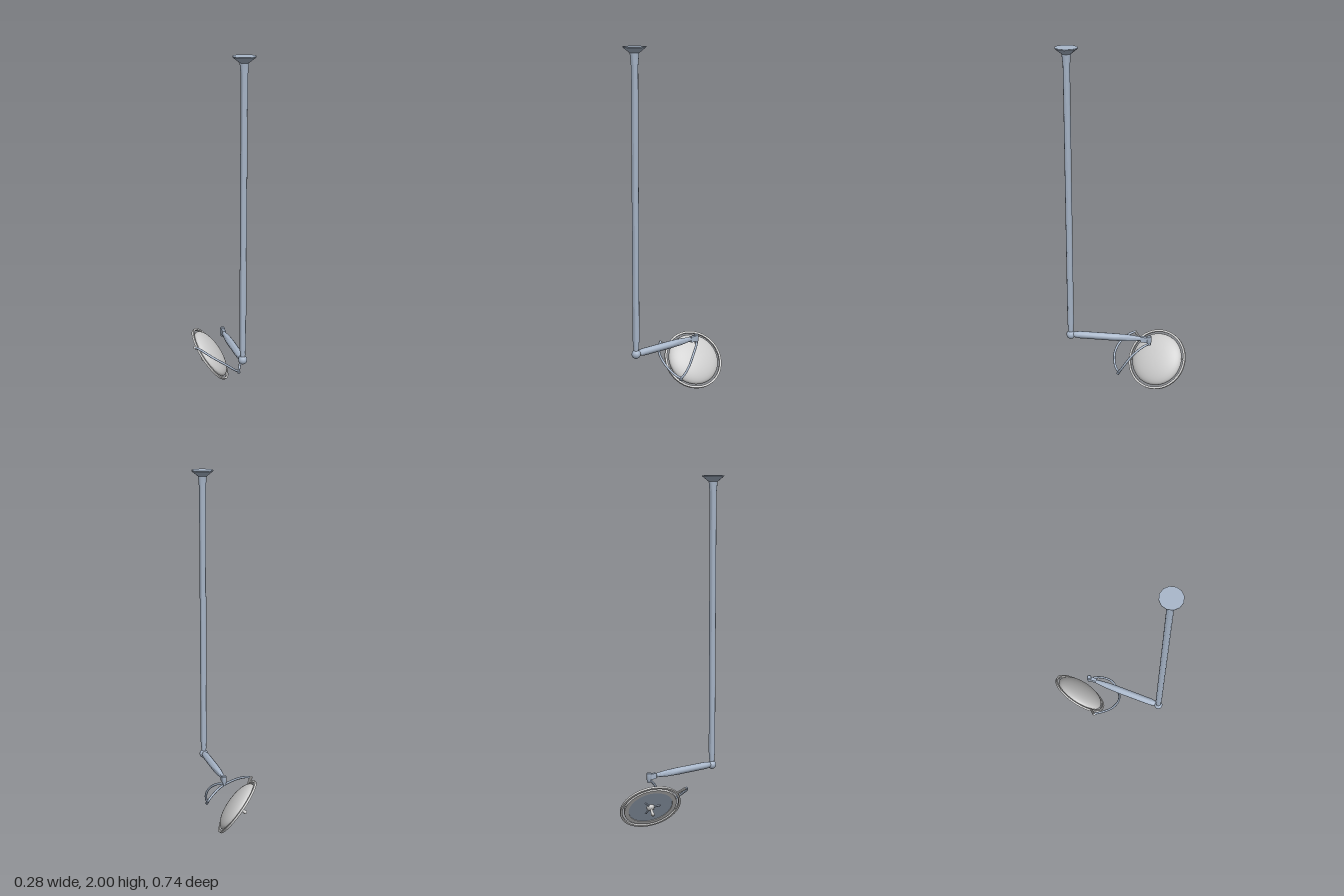
import * as THREE from 'three';
import { toCreasedNormals } from 'three/addons/utils/BufferGeometryUtils.js';

const V = (x, y, z) => new THREE.Vector3(x, y, z);
const UP = V(0, 1, 0);

export function createModel() {
  const model = new THREE.Group();
  const blue = new THREE.MeshStandardMaterial({ color: 0xa9b7ca });
  const grey = new THREE.MeshStandardMaterial({ color: 0xcccccc, side: THREE.DoubleSide });

  function add(parent, name, geometry, material) {
    const mesh = new THREE.Mesh(geometry, material);
    mesh.name = name;
    parent.add(mesh);
    return mesh;
  }
  // Turned part: profile of [radius, height], listed from bottom to top
  const turned = (profile, sides) => toCreasedNormals(
    new THREE.LatheGeometry(profile.map(([r, y]) => new THREE.Vector2(r, y)), sides), 0.7);
  // Straight rod between two points
  function rod(parent, name, a, b, ra, rb, material) {
    const geometry = toCreasedNormals(new THREE.CylinderGeometry(rb, ra, a.distanceTo(b), 10), 0.7);
    const mesh = add(parent, name, geometry, material);
    mesh.position.copy(a).lerp(b, 0.5);
    mesh.quaternion.setFromUnitVectors(UP, b.clone().sub(a).normalize());
    return mesh;
  }
  const bentRod = (name, points) => add(model, name,
    new THREE.TubeGeometry(new THREE.CatmullRomCurve3(points), 28, 0.0068, 8), blue);

  // Ceiling pole with its flared mount
  const poleX = 0.058, poleZ = 0.303, armY = 0.304;
  add(model, 'ceilingPole', turned([
    [0, 0.31], [0.014, 0.31], [0.015, 0.33], [0.019, 0.38], [0.02, 1.9],
    [0.026, 1.965], [0.064, 1.995], [0.064, 2], [0, 2],
  ], 12), blue).position.set(poleX, 0, poleZ);

  // Elbow joint and horizontal arm
  add(model, 'elbowJoint', new THREE.SphereGeometry(0.026, 12, 8), blue)
    .position.set(poleX, armY - 0.002, poleZ);
  const arm = add(model, 'horizontalArm', turned([
    [0, 0.015], [0.015, 0.015], [0.021, 0.05], [0.0215, 0.26], [0.019, 0.34],
    [0.012, 0.415], [0, 0.415],
  ], 12), blue);
  arm.position.set(poleX, armY, poleZ);
  arm.rotation.x = -Math.PI / 2;

  // Wrist joint at the end of the arm
  const neck = add(model, 'wristNeck', new THREE.BoxGeometry(0.02, 0.032, 0.045), blue);
  neck.position.set(0.061, armY - 0.002, -0.133);
  add(model, 'wristJoint', turned([
    [0, -0.034], [0.011, -0.034], [0.012, -0.02], [0.0145, -0.014],
    [0.0145, 0.018], [0.011, 0.022], [0, 0.022],
  ], 12), blue).position.set(0.061, armY, -0.158);

  // Two bent rods carrying the lamp head
  const joint = V(0.114, 0.107, 0.012), pivot = V(-0.13, 0.258, -0.05);
  bentRod('upperYoke', [V(0.061, 0.274, -0.158), V(0.08, 0.275, -0.142), V(0.105, 0.258, -0.108),
    V(0.126, 0.22, -0.065), V(0.134, 0.18, -0.035), V(0.128, 0.138, -0.008), joint]);
  bentRod('lowerYoke', [joint, V(0.083, 0.13, 0.036), V(0.025, 0.175, 0.051),
    V(-0.045, 0.217, 0.033), V(-0.1, 0.248, -0.012), pivot]);
  rod(model, 'yokeJoint', V(0.118, 0.096, 0.018), V(0.112, 0.116, 0.006), 0.009, 0.009, blue);
  rod(model, 'ringPivot', V(-0.1, 0.229, -0.085), V(-0.135, 0.259, -0.046), 0.006, 0.009, grey);

  // Lamp head, built upright and tilted so that its dome points along the axis
  const head = new THREE.Group();
  head.name = 'lampHead';
  head.position.set(-0.005, 0.148, -0.197);
  head.quaternion.setFromUnitVectors(UP, V(0.765, 0.589, 0.26).normalize());
  model.add(head);

  add(head, 'outerRing', turned([
    [0.165, -0.006], [0.177, -0.006], [0.177, 0.006], [0.165, 0.006], [0.165, -0.006],
  ], 48), grey);

  const dome = [];
  for (let i = 0; i <= 10; i++) {
    const a = (i / 10) * Math.PI / 2;
    dome.push([0.154 * Math.cos(a), 0.052 * Math.sin(a)]);
  }
  add(head, 'domeShell', turned([[0.128, -0.001], [0.128, -0.006], [0.152, -0.006], ...dome], 40), grey);

  // Lamp face with centre hub and handle
  const face = add(head, 'lampFace', new THREE.CircleGeometry(0.129, 40), blue);
  face.rotation.x = Math.PI / 2;
  face.position.y = -0.002;
  add(head, 'handle', turned([
    [0, -0.064], [0.008, -0.064], [0.011, -0.058], [0.008, -0.04], [0.007, -0.022],
    [0.018, -0.016], [0.024, -0.002],
  ], 12), grey);
  for (let i = 0; i < 3; i++) {
    const a = i * Math.PI * 2 / 3;
    const spoke = add(head, 'faceSpoke', new THREE.BoxGeometry(0.045, 0.006, 0.007), blue);
    spoke.position.set(Math.cos(a) * 0.035, -0.005, -Math.sin(a) * 0.035);
    spoke.rotation.y = a;
  }

  // Pins joining the dome to the ring, in line with the pivot
  const pinDir = head.worldToLocal(pivot.clone().sub(head.position).applyQuaternion(head.quaternion.clone().invert()));
  pinDir.y = 0;
  pinDir.normalize();
  for (const s of [1, -1]) {
    rod(head, 'ringPin', pinDir.clone().multiplyScalar(s * 0.148),
      pinDir.clone().multiplyScalar(s * 0.17), 0.004, 0.004, grey);
  }
  return model;
}
